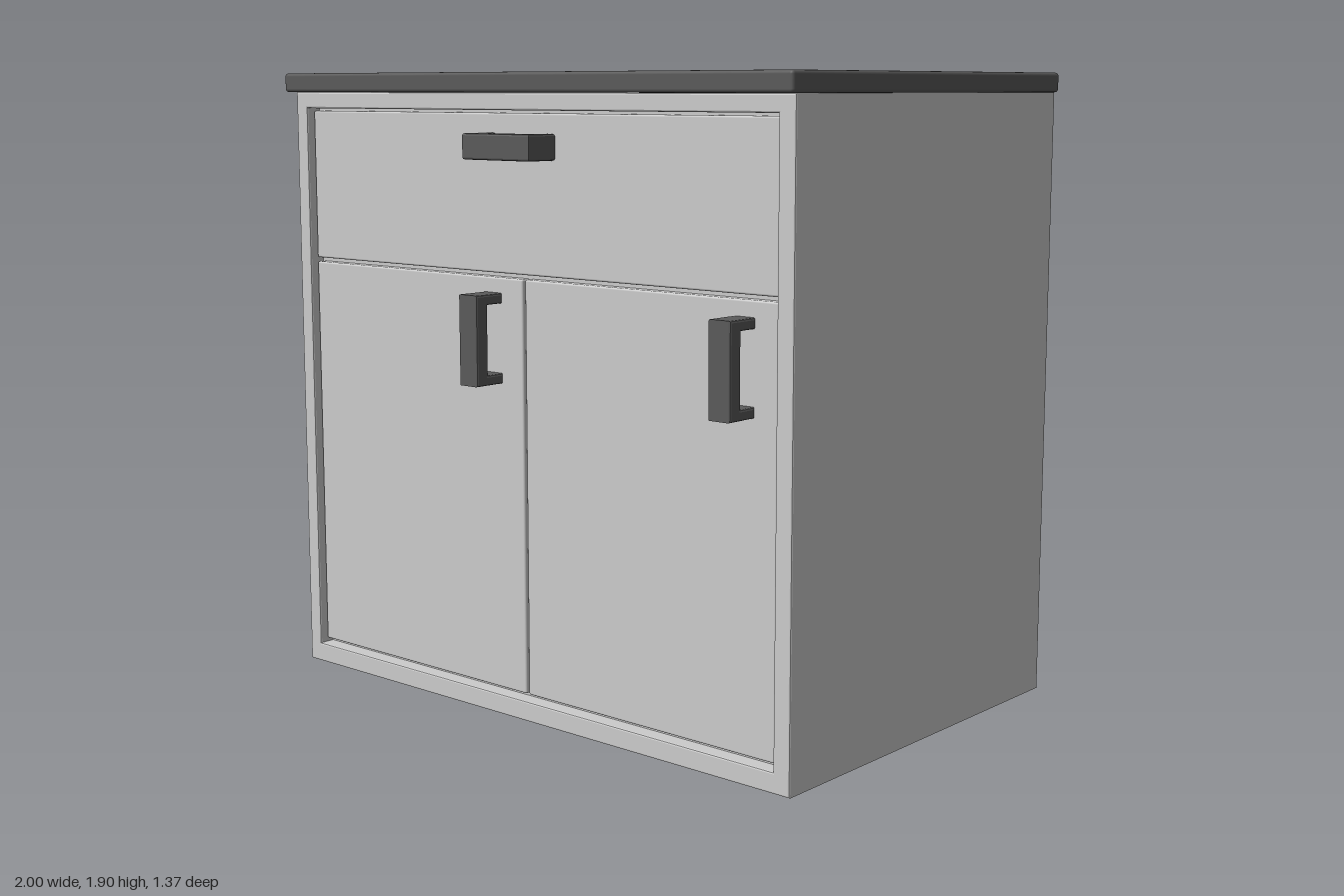
import * as THREE from 'three';
import { RoundedBoxGeometry } from 'three/addons/geometries/RoundedBoxGeometry.js';

const grey = new THREE.MeshStandardMaterial({ color: 0xcccccc });
const dark = new THREE.MeshStandardMaterial({ color: 0x5a5a5a });

// Softly bevelled box given by its minimum and maximum corners
function block(name, [x0, y0, z0], [x1, y1, z1], material, radius = 0.006) {
  const geometry = new RoundedBoxGeometry(x1 - x0, y1 - y0, z1 - z0, 2, radius);
  const mesh = new THREE.Mesh(geometry, material);
  mesh.position.set((x0 + x1) / 2, (y0 + y1) / 2, (z0 + z1) / 2);
  mesh.name = name;
  return mesh;
}

// Rectangle outline, usable as shape or hole
function rectangle(x0, y0, x1, y1, Type) {
  return new Type([[x0, y0], [x1, y0], [x1, y1], [x0, y1]].map(([x, y]) => new THREE.Vector2(x, y)));
}

// U-shaped pull: profile in the depth/length plane, extruded across its width
function makeHandle(name, x, y, horizontal) {
  const b = 0.006, half = 0.133, width = 0.075, front = 0.105, inner = 0.06, leg = 0.03;
  const points = [[0, -half], [front, -half], [front, half], [0, half],
    [0, half - leg], [inner, half - leg], [inner, leg - half], [0, leg - half]];
  const geometry = new THREE.ExtrudeGeometry(
    new THREE.Shape(points.map(([u, v]) => new THREE.Vector2(u, v))),
    { depth: width - 2 * b, bevelThickness: b, bevelSize: b, bevelOffset: -b, bevelSegments: 2 });
  geometry.translate(0, 0, b - width / 2);
  geometry.rotateY(-Math.PI / 2);
  if (horizontal) geometry.rotateZ(Math.PI / 2);
  const mesh = new THREE.Mesh(geometry, dark);
  mesh.position.set(x, y, 0.58);
  mesh.name = name;
  return mesh;
}

export function createModel() {
  const model = new THREE.Group();
  model.name = 'cabinet';

  // Carcass behind the fronts
  const carcass = new THREE.Mesh(new THREE.BoxGeometry(1.97, 1.845, 1.23), grey);
  carcass.position.set(0, 0.9225, -0.065);
  carcass.name = 'carcass';
  model.add(carcass);

  // Face frame around the opening
  const outline = rectangle(-0.985, 0, 0.985, 1.845, THREE.Shape);
  outline.holes.push(rectangle(-0.935, 0.06, 0.93, 1.795, THREE.Path));
  const frame = new THREE.Mesh(new THREE.ExtrudeGeometry(outline, {
    depth: 0.045, bevelThickness: 0.005, bevelSize: 0.005, bevelOffset: -0.005, bevelSegments: 2,
  }), grey);
  frame.position.z = 0.55;
  frame.name = 'faceFrame';
  model.add(frame);

  // Inset drawer and doors
  model.add(
    block('drawerFront', [-0.927, 1.325, 0.53], [0.92, 1.787, 0.58], grey),
    block('rightDoor', [-0.927, 0.075, 0.53], [-0.009, 1.312, 0.58], grey),
    block('leftDoor', [0.001, 0.075, 0.53], [0.92, 1.312, 0.58], grey),
  );

  // Worktop overhanging front and sides
  model.add(block('worktop', [-1, 1.845, -0.683], [1, 1.903, 0.635], dark, 0.01));

  // Pulls
  model.add(
    makeHandle('drawerHandle', -0.007, 1.693, true),
    makeHandle('rightDoorHandle', -0.128, 1.134, false),
    makeHandle('leftDoorHandle', 0.808, 1.134, false),
  );
  return model;
}
